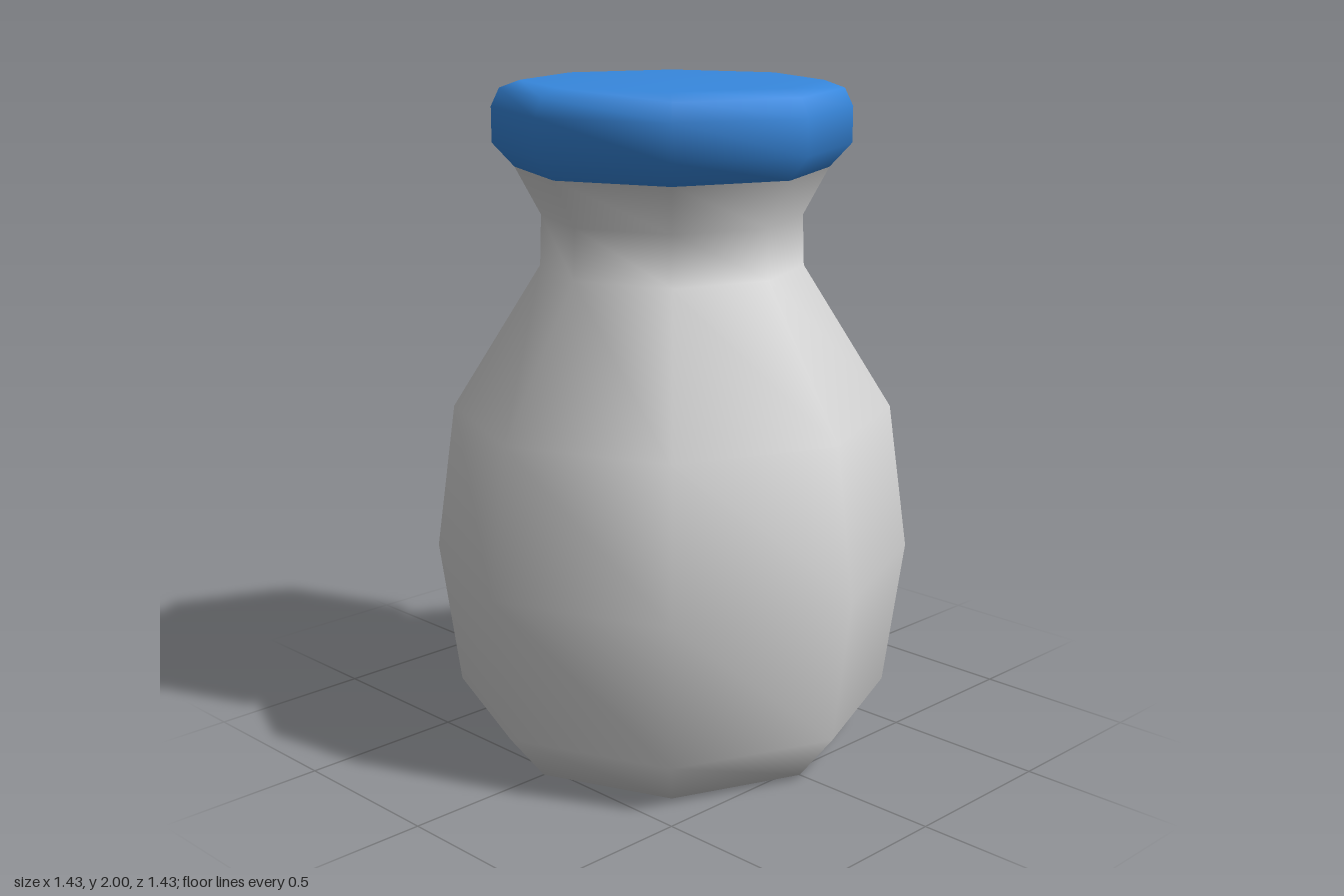
import * as THREE from 'three';

const SIDES = 8;

// Smooth-shaded eight-sided solid of revolution, corners on the x and z axes
function turned(name, profile, material) {
  const points = profile.map(([r, y]) => new THREE.Vector2(r, y));
  const mesh = new THREE.Mesh(new THREE.LatheGeometry(points, SIDES), material);
  mesh.name = name;
  return mesh;
}

export function createModel() {
  const glass = new THREE.MeshStandardMaterial({ color: 0xd8d8d8 });
  glass.name = 'pale grey';
  const lid = new THREE.MeshStandardMaterial({ color: 0x3788de });
  lid.name = 'blue';

  const model = new THREE.Group();
  model.name = 'bottle';

  // Rounded belly, narrow neck and flared lip
  model.add(turned('body', [
    [0, 0], [0.535, 0], [0.657, 0.15], [0.717, 0.59], [0.657, 1.03],
    [0.39, 1.46], [0.385, 1.61], [0.46, 1.75],
  ], glass));

  // Bevelled cap
  model.add(turned('cap', [
    [0.46, 1.75], [0.525, 1.82], [0.525, 1.925], [0.5, 1.978], [0.44, 2], [0, 2],
  ], lid));

  return model;
}
